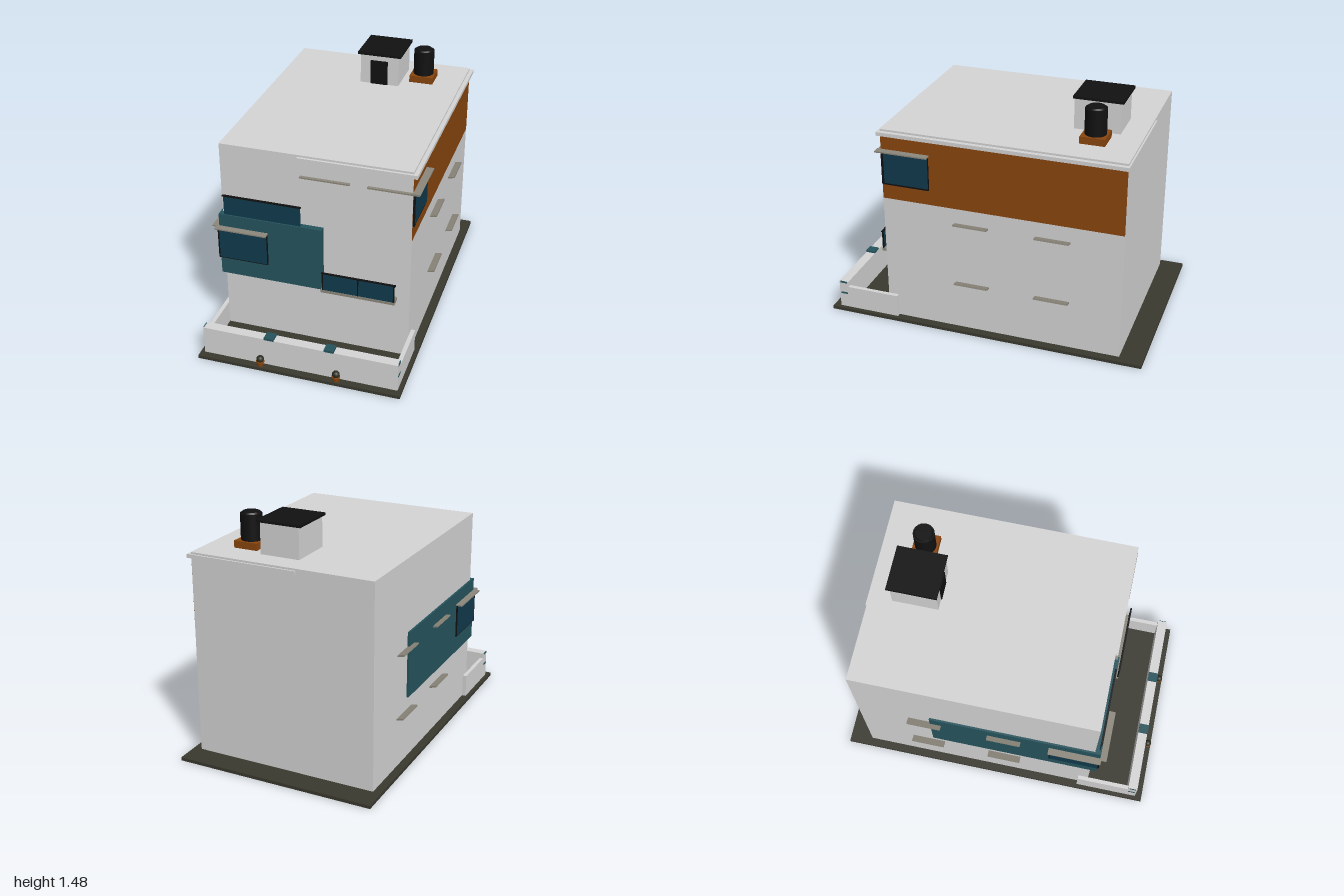
import * as THREE from 'three';

const flat = (name, color) => {
  const m = new THREE.MeshStandardMaterial({ color });
  m.name = name;
  return m;
};

export function createModel() {
  const model = new THREE.Group();
  model.name = 'house';

  const wall = flat('wall grey', 0xd6d6d6);
  const ground = flat('ground', 0x39392f);
  const teal = flat('teal cladding', 0x26545d);
  const glass = flat('window glass', 0x113a4d);
  const black = flat('black trim', 0x111111);
  const stone = flat('stone ledge', 0x8d887c);
  const orange = flat('orange clay', 0x8a460e);
  const leaf = flat('leaves', 0x2b2c20);

  const add = (name, geometry, material, x, y, z) => {
    const mesh = new THREE.Mesh(geometry, material);
    mesh.name = name;
    mesh.position.set(x, y, z);
    model.add(mesh);
    return mesh;
  };
  // Box given by its extents along each axis
  const box = (name, mat, [x0, x1], [y0, y1], [z0, z1]) =>
    add(name, new THREE.BoxGeometry(x1 - x0, y1 - y0, z1 - z0), mat,
      (x0 + x1) / 2, (y0 + y1) / 2, (z0 + z1) / 2);

  // Ground and main block
  box('groundSlab', ground, [-0.625, 0.625], [0, 0.02], [-1, 1]);
  box('mainBlock', wall, [-0.575, 0.575], [0.02, 1.275], [-0.855, 0.625]);
  box('roofBand', wall, [-0.1, 0.6], [1.24, 1.263], [-0.865, 0.64]);

  // Cladding on the two sides and the front corner
  box('orangePanel', orange, [0.574, 0.576], [0.83, 1.24], [-0.854, 0.624]);
  box('frontTealPanel', teal, [-0.585, 0.05], [0.415, 0.825], [0.6, 0.663]);
  box('sideTealPanel', teal, [-0.587, -0.57], [0.415, 0.825], [-0.4, 0.663]);

  // Upper terrace railing
  box('terraceGlass', glass, [-0.555, -0.08], [0.825, 0.945], [0.649, 0.655]);
  box('terraceRail', black, [-0.561, -0.075], [0.945, 0.953], [0.646, 0.658]);

  // Lower balcony
  box('balconyLedge', stone, [0.05, 0.5], [0.415, 0.432], [0.62, 0.69]);
  for (const [a, b] of [[0.066, 0.273], [0.281, 0.493]])
    box('balconyGlass', glass, [a, b], [0.432, 0.546], [0.682, 0.687]);
  for (const x of [0.062, 0.277, 0.494])
    box('balconyPost', black, [x - 0.004, x + 0.004], [0.432, 0.546], [0.681, 0.689]);
  box('balconyRail', black, [0.054, 0.505], [0.546, 0.553], [0.68, 0.691]);

  // Left corner window: front face, side face and L-shaped canopy
  box('cornerFrontFrame', black, [-0.596, -0.283], [0.527, 0.737], [0.66, 0.672]);
  box('cornerFrontGlass', glass, [-0.586, -0.288], [0.533, 0.73], [0.67, 0.674]);
  box('cornerSideFrame', black, [-0.596, -0.58], [0.527, 0.737], [0.352, 0.672]);
  box('cornerSideGlass', glass, [-0.598, -0.594], [0.533, 0.73], [0.358, 0.662]);
  box('cornerFrontCanopy', stone, [-0.6, -0.28], [0.738, 0.746], [0.66, 0.705]);
  box('cornerSideCanopy', stone, [-0.628, -0.58], [0.738, 0.746], [0.345, 0.672]);

  // Right side window with canopy, and the thin canopies on the front
  box('sideWindowFrame', black, [0.57, 0.586], [0.925, 1.142], [0.325, 0.622]);
  box('sideWindowGlass', glass, [0.584, 0.588], [0.936, 1.132], [0.328, 0.606]);
  box('sideWindowCanopy', stone, [0.57, 0.62], [1.142, 1.15], [0.32, 0.645]);
  for (const [a, b] of [[-0.085, 0.212], [0.315, 0.615]])
    box('frontCanopy', stone, [a, b], [1.138, 1.146], [0.62, 0.645]);

  // Tilted sun shades on both sides
  for (const side of [-1, 1])
    for (const y of [0.334, 0.734])
      for (const z of [0.065, -0.435]) {
        const shade = add('sunShade', new THREE.BoxGeometry(0.05, 0.01, 0.21), stone, side * 0.592, y, z);
        shade.rotation.z = side * 0.22;
      }

  // Garden wall with side returns
  box('frontGardenWall', wall, [-0.6, 0.6], [0.02, 0.2], [0.895, 0.955]);
  for (const side of [-1, 1]) {
    const span = side < 0 ? [-0.6, -0.575] : [0.575, 0.6];
    box('sideGardenWall', wall, span, [0.02, 0.165], [0.56, 0.896]);
    const x = side * 0.185;
    box('wallCap', teal, [x - 0.03, x + 0.03], [0.197, 0.212], [0.895, 0.957]);
    for (const y of [0.118, 0.195])
      box('wallEndStrip', teal, [side * 0.6 - 0.003, side * 0.6 + 0.003], [y - 0.005, y + 0.005], [0.903, 0.947]);

    // Potted bushes
    const px = side * 0.235;
    add('pot', new THREE.CylinderGeometry(0.023, 0.018, 0.03, 12), orange, px, 0.035, 0.976);
    add('potRim', new THREE.CylinderGeometry(0.025, 0.025, 0.008, 12), orange, px, 0.05, 0.976);
    add('bush', new THREE.SphereGeometry(0.023, 12, 8), leaf, px, 0.067, 0.976);
  }

  // Stair house on the roof
  box('stairHouse', wall, [-0.047, 0.2], [1.27, 1.466], [-0.715, -0.437]);
  box('stairHouseRoof', black, [-0.065, 0.215], [1.465, 1.48], [-0.73, -0.43]);
  box('stairHouseDoor', black, [0.02, 0.13], [1.275, 1.432], [-0.438, -0.431]);

  // Water tank on its plinth
  box('tankPlinth', orange, [0.25, 0.4], [1.27, 1.318], [-0.675, -0.525]);
  add('waterTank', new THREE.CylinderGeometry(0.064, 0.064, 0.156, 24), black, 0.325, 1.396, -0.6);
  add('tankLid', new THREE.CylinderGeometry(0.05, 0.056, 0.012, 24), black, 0.325, 1.478, -0.6);

  return model;
}
